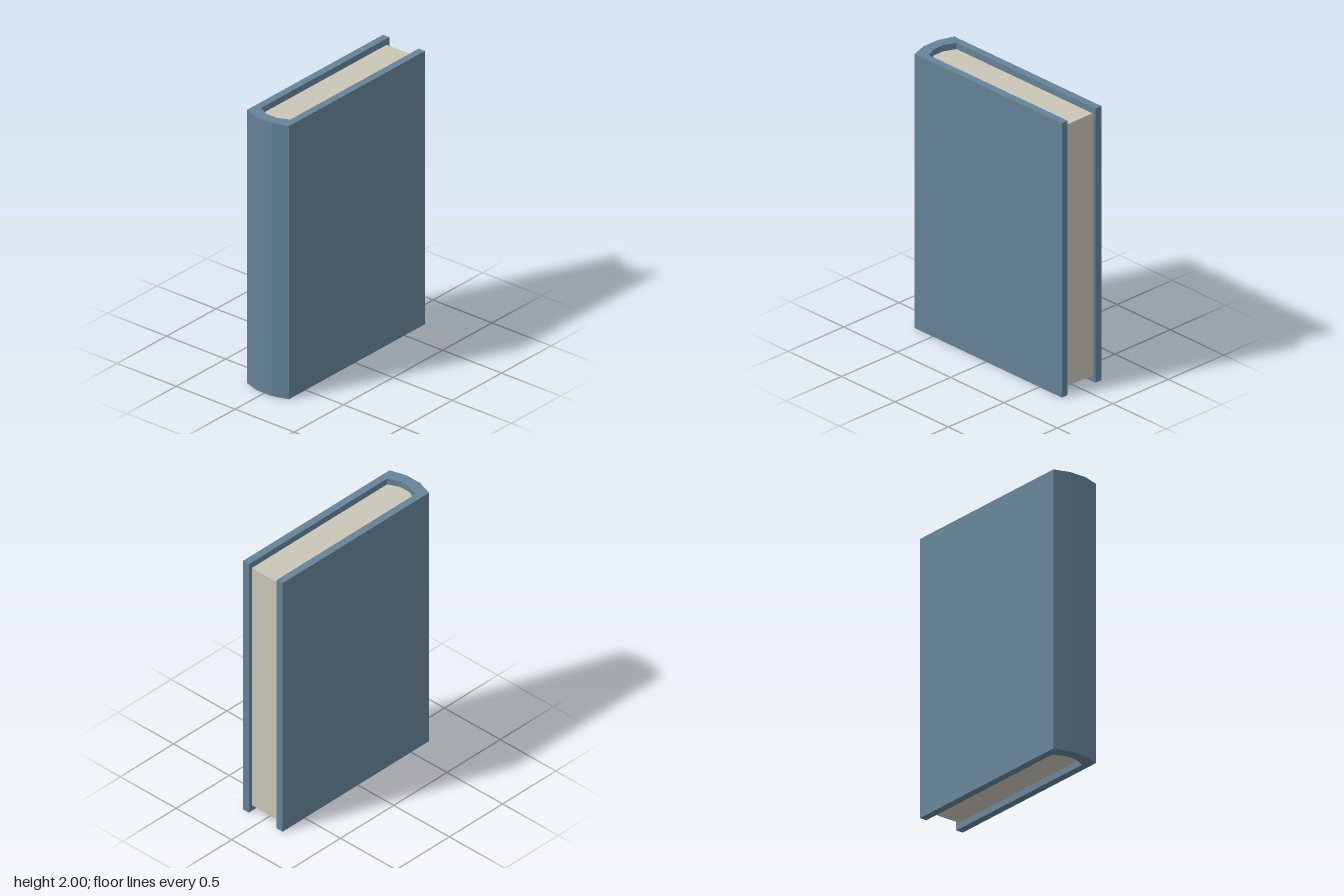
import * as THREE from 'three';

// Extrude an outline of [x, z] points upward from y = base
function prism(name, outline, height, base, material) {
  const shape = new THREE.Shape(outline.map(([x, z]) => new THREE.Vector2(x, -z)));
  const geometry = new THREE.ExtrudeGeometry(shape, { depth: height, bevelEnabled: false });
  geometry.rotateX(-Math.PI / 2).translate(0, base, 0);
  const mesh = new THREE.Mesh(geometry, material);
  mesh.name = name;
  return mesh;
}

// Mirror a half outline across x = 0
const mirrored = (half) => [...half, ...half.map(([x, z]) => [-x, z]).reverse()];

export function createModel() {
  const coverBlue = new THREE.MeshStandardMaterial({ color: 0x648398 });
  coverBlue.name = 'coverBlue';
  const paper = new THREE.MeshStandardMaterial({ color: 0xcac6b6 });
  paper.name = 'paper';

  const back = -0.708, pageBack = -0.68, recess = 0.045;
  const spineInside = [[0.125, 0.592], [0.042, 0.629]];
  const outside = mirrored([[0.178, back], [0.178, 0.669], [0.062, 0.706]]);
  const inside = mirrored([[0.125, back], ...spineInside]);

  const book = new THREE.Group();
  book.name = 'book';
  // Two boards joined by a faceted spine at the front
  book.add(prism('cover', [...outside, ...inside.reverse()], 2, 0, coverBlue));
  // Page block, set back from the cover's edges
  book.add(prism('pages', mirrored([[0.125, pageBack], ...spineInside]), 2 - 2 * recess, recess, paper));
  return book;
}
